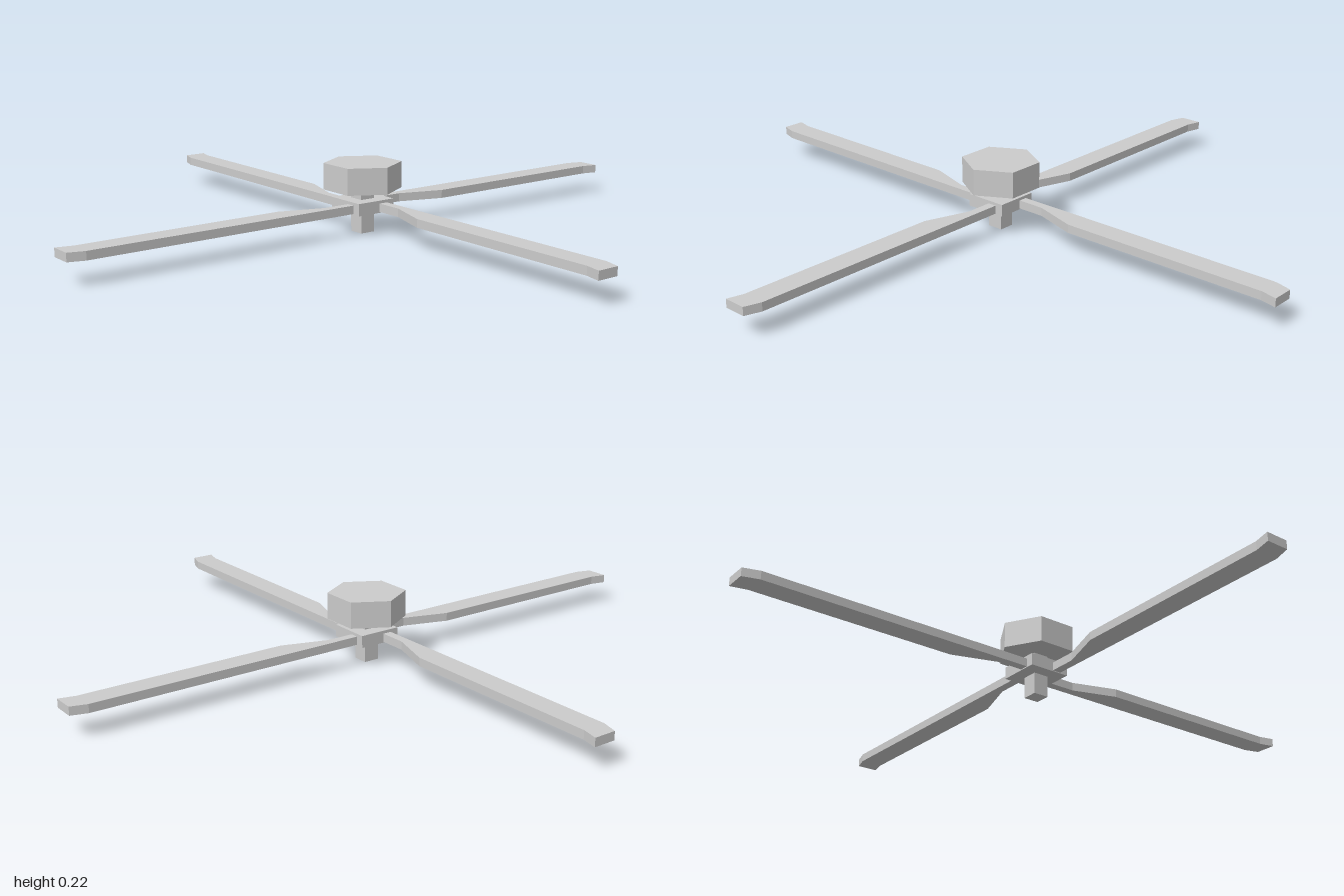
import * as THREE from 'three';

export function createModel() {
  const group = new THREE.Group();
  group.name = 'rotor';
  const material = new THREE.MeshStandardMaterial({ color: 0xcccccc, flatShading: true });

  const add = (name, geometry, y = 0) => {
    const mesh = new THREE.Mesh(geometry, material);
    mesh.name = name;
    mesh.position.y = y;
    group.add(mesh);
    return mesh;
  };

  // Square drive shaft, collar and hexagonal cap
  add('shaft', new THREE.BoxGeometry(0.05, 0.135, 0.05), 0.0675);
  add('collar', new THREE.BoxGeometry(0.134, 0.038, 0.134), 0.086);
  add('hubCap', new THREE.CylinderGeometry(0.12, 0.12, 0.082, 6), 0.175);

  // Blade outline: narrow root, widening to a flat blade with a swept tip
  const outline = new THREE.Shape([
    [0.03, 0.013], [0.155, 0.013], [0.295, -0.032], [0.95, -0.032],
    [1.0, -0.044], [1.0, 0.026], [0.95, 0.041], [0.03, 0.041],
  ].map(([x, y]) => new THREE.Vector2(x, y)));
  const bladeGeometry = new THREE.ExtrudeGeometry(outline, { depth: 0.026, bevelEnabled: false });
  bladeGeometry.rotateX(-Math.PI / 2);

  // Four blades around the shaft
  for (let i = 0; i < 4; i++) {
    add(`blade${i + 1}`, bladeGeometry, 0.07).rotation.y = (i * Math.PI) / 2;
  }

  return group;
}
